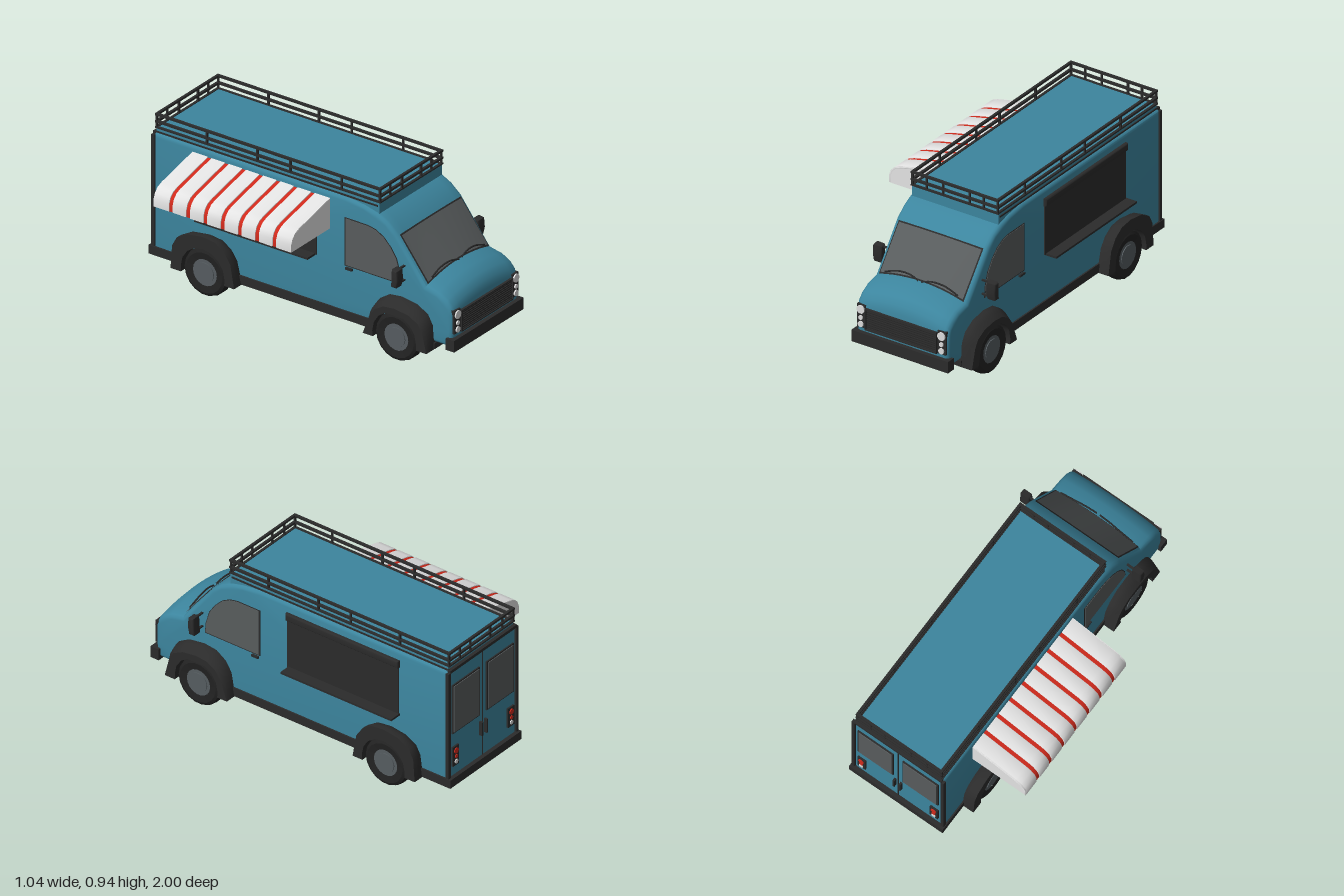
import * as THREE from 'three';
import { toCreasedNormals } from 'three/addons/utils/BufferGeometryUtils.js';

const mat = (name, color) => Object.assign(new THREE.MeshStandardMaterial({ color }), { name });
const M = {
  paint: mat('blue paint', 0x3c859e),
  trim: mat('black trim', 0x2b2b2b),
  tyre: mat('tyre rubber', 0x222222),
  glass: mat('grey glass', 0x585c5d),
  hub: mat('hub grey', 0x555c60),
  cloth: mat('white canvas', 0xe4e4e4),
  red: mat('red', 0xd02a1c),
  lamp: mat('lamp white', 0xdcdcdc),
};
M.glass.side = THREE.DoubleSide;

// Lower the hood and windscreen foot towards the flanks
const clamp = THREE.MathUtils.clamp;
const crown = (x, y, z) =>
  0.045 * (x / 0.295) ** 2 * clamp((z - 0.6) / 0.2, 0, 1) * clamp((y - 0.25) / 0.15, 0, 1);
function applyCrown(geo) {
  const p = geo.attributes.position;
  for (let i = 0; i < p.count; i++) p.setY(i, p.getY(i) - crown(p.getX(i), p.getY(i), p.getZ(i)));
  return geo;
}

// Outline of [z, y] points swept across from x0 to x1
function sweepX(pts, x0, x1, bevel = 0, steps = 1, segs = 3) {
  const shape = new THREE.Shape(pts.map(([z, y]) => new THREE.Vector2(z, y)));
  return new THREE.ExtrudeGeometry(shape, {
    depth: x1 - x0 - 2 * bevel, steps, bevelEnabled: bevel > 0, bevelSize: bevel,
    bevelThickness: bevel, bevelOffset: -bevel, bevelSegments: segs,
  }).rotateY(-Math.PI / 2).translate(x1 - bevel, 0, 0);
}
const grow = (pts, k) => {
  const cz = pts.reduce((s, p) => s + p[0], 0) / pts.length;
  const cy = pts.reduce((s, p) => s + p[1], 0) / pts.length;
  return pts.map(([z, y]) => [cz + (z - cz) * k, cy + (y - cy) * k]);
};

export function createModel() {
  const model = new THREE.Group();
  model.name = 'foodTruck';
  const van = new THREE.Group();
  van.name = 'van';
  van.position.x = 0.122; // the awning overhangs one side only
  model.add(van);

  const add = (name, geo, material) => {
    const m = new THREE.Mesh(geo, material);
    m.name = name;
    van.add(m);
    return m;
  };
  // Box given by its limits on each axis
  const box = (name, material, x0, x1, y0, y1, z0, z1) => add(name,
    new THREE.BoxGeometry(Math.abs(x1 - x0), y1 - y0, z1 - z0)
      .translate((x0 + x1) / 2, (y0 + y1) / 2, (z0 + z1) / 2), material);
  const disc = (name, material, r, depth, x, y, z, axis = 'z', sides = 20) => {
    const g = new THREE.CylinderGeometry(r, r, depth, sides);
    if (axis === 'z') g.rotateX(Math.PI / 2); else g.rotateZ(Math.PI / 2);
    return add(name, g.translate(x, y, z), material);
  };

  // Body shell
  const profile = [[-0.975, 0.12], [0.86, 0.12], [0.86, 0.15], [0.965, 0.15], [0.98, 0.24], [0.978, 0.38],
    [0.965, 0.425], [0.935, 0.46], [0.88, 0.49], [0.8, 0.505], [0.61, 0.715], [0.55, 0.765], [0.48, 0.8],
    [0.4, 0.82], [0.28, 0.835], [-0.975, 0.835]];
  add('body', toCreasedNormals(applyCrown(sweepX(profile, -0.295, 0.295, 0.025, 12)), 0.6), M.paint);
  box('roofBox', M.paint, -0.278, 0.278, 0.79, 0.862, -0.965, 0.49);

  // Windscreen: sheets lying on the sloping front
  const screen = (name, material, half, t0, t1, lift) => {
    const g = new THREE.PlaneGeometry(2 * half, 1, 12, 1);
    const p = g.attributes.position;
    for (let i = 0; i < p.count; i++) {
      const t = p.getY(i) > 0 ? t1 : t0;
      const x = p.getX(i), z = 0.8 - 0.19 * t, y = 0.505 + 0.21 * t;
      p.setXYZ(i, x, y - crown(x, y, z) + lift * 0.7, z + lift * 0.74);
    }
    g.computeVertexNormals();
    add(name, g, material);
  };
  screen('windscreenFrame', M.trim, 0.272, 0.0, 0.97, 0.003);
  screen('windscreen', M.glass, 0.265, 0.03, 0.94, 0.006);
  for (const s of [-1, 1]) {
    const path = new THREE.CatmullRomCurve3([[0.01, 0.512, 0.812], [0.07, 0.528, 0.805],
      [0.15, 0.522, 0.798], [0.235, 0.492, 0.798]].map(([x, y, z]) => new THREE.Vector3(s * x, y, z)));
    add('wiper', new THREE.TubeGeometry(path, 12, 0.005, 5), M.trim);
  }

  // Grille, lamps and bumpers
  box('grillePanel', M.tyre, -0.228, 0.228, 0.23, 0.352, 0.97, 0.985);
  for (let i = 0; i < 9; i++) box('grilleSlat', M.trim, -0.22, 0.22, 0.238 + i * 0.0125, 0.244 + i * 0.0125, 0.98, 0.99);
  for (const y of [0.228, 0.348]) box('grilleRim', M.trim, -0.23, 0.23, y, y + 0.007, 0.97, 0.993);
  box('frontBumper', M.trim, -0.31, 0.31, 0.14, 0.208, 0.945, 1);
  box('frontValance', M.trim, -0.3, 0.3, 0.116, 0.15, 0.84, 0.866);
  box('rearBumper', M.trim, -0.305, 0.305, 0.115, 0.165, -1, -0.95);
  for (const s of [-1, 1]) {
    box('grilleRim', M.trim, s * 0.223, s * 0.23, 0.23, 0.352, 0.97, 0.993);
    box('lampHousing', M.trim, s * 0.232, s * 0.286, 0.232, 0.368, 0.96, 0.984);
    for (const [y, r] of [[0.341, 0.024], [0.292, 0.013], [0.253, 0.017]])
      disc('headlight', M.lamp, r, 0.02, s * 0.259, y, 0.982);
  }

  // Parts on both flanks
  const arch = [[0.21, 0.112], [0.2, 0.25], [0.17, 0.305], [0.1, 0.345], [0, 0.36], [-0.08, 0.35],
    [-0.14, 0.31], [-0.18, 0.25], [-0.205, 0.112], [-0.14, 0.112]];
  for (let i = 0; i <= 8; i++) {
    const a = Math.PI * (1 - i / 8);
    arch.push([0.143 * Math.cos(a), 0.145 + 0.143 * Math.sin(a)]);
  }
  arch.push([0.143, 0.112]);
  const cabWindow = [[0.64, 0.437], [0.635, 0.5], [0.612, 0.575], [0.575, 0.63], [0.53, 0.675], [0.48, 0.702],
    [0.43, 0.712], [0.285, 0.712], [0.285, 0.437]];
  const tyreProfile = [[0.078, -0.036], [0.118, -0.042], [0.134, -0.034], [0.14, -0.018], [0.14, 0.018],
    [0.134, 0.034], [0.118, 0.042], [0.078, 0.036]].map(([r, y]) => new THREE.Vector2(r, y));

  for (const s of [-1, 1]) {
    const span = (pts, a, b, ...rest) => sweepX(pts, Math.min(s * a, s * b), Math.max(s * a, s * b), ...rest);

    for (const [z, dir] of [[0.65, 1], [-0.6, -1]]) {
      // Wheel arch, slimmed towards its outer edge
      const fender = span(arch, 0.27, 0.367, 0, 4);
      const p = fender.attributes.position;
      for (let i = 0; i < p.count; i++) {
        const k = clamp((Math.abs(p.getX(i)) - 0.3) / 0.067, 0, 1) ** 2;
        const r = Math.hypot(p.getZ(i), p.getY(i) - 0.145);
        if (r > 0.16 && p.getY(i) > 0.2) {
          const f = 1 - k * 0.2 * clamp((r - 0.16) / 0.04, 0, 1);
          p.setY(i, 0.145 + (p.getY(i) - 0.145) * f);
          p.setZ(i, p.getZ(i) * (1 - (1 - f) * 0.5));
        }
      }
      const m = add('wheelArch', toCreasedNormals(fender, 0.7), M.trim);
      m.position.z = z;
      if (dir < 0) {
        m.rotation.y = Math.PI; // turned so the long end trails
        m.geometry.rotateY(Math.PI);
        m.rotation.y = 0;
        m.geometry.translate(s * 0.637, 0, 0);
      }

      // Wheel
      const x = s * 0.311;
      const tyre = add('tyre', toCreasedNormals(
        new THREE.LatheGeometry(tyreProfile, 18).rotateZ(Math.PI / 2), 0.5), M.tyre);
      tyre.position.set(x, 0.14, z);
      disc('rim', M.hub, 0.08, 0.01, x + s * 0.03, 0.14, z, 'x');
      disc('hubCap', M.hub, 0.058, 0.012, x + s * 0.034, 0.14, z, 'x');
      disc('wheelBack', M.lamp, 0.08, 0.01, x - s * 0.03, 0.14, z, 'x');
    }
    box('sill', M.trim, s * 0.285, s * 0.304, 0.114, 0.165, -0.98, 0.845);

    // Cab window, door handle and mirror
    add('cabWindowFrame', span(grow(cabWindow, 1.04), 0.29, 0.2975), M.trim);
    add('cabWindow', span(cabWindow, 0.292, 0.3), M.glass);
    box('doorHandle', M.trim, s * 0.29, s * 0.308, 0.414, 0.426, 0.285, 0.33);
    add('mirror', toCreasedNormals(span([[0.645, 0.455], [0.68, 0.455], [0.69, 0.5], [0.685, 0.555],
      [0.65, 0.56]], 0.335, 0.394, 0.01), 0.6), M.trim);
    for (const y of [0.465, 0.548]) box('mirrorArm', M.trim, s * 0.285, s * 0.35, y - 0.004, y + 0.004, 0.658, 0.67);

    // Serving hatch with roller housing and counter
    box('servingHatch', M.trim, s * 0.29, s * 0.302, 0.44, 0.75, -0.65, 0.095);
    add('rollerHousing', toCreasedNormals(span([[-0.655, 0.735], [0.1, 0.735], [0.1, 0.78], [-0.655, 0.78]],
      0.28, 0.315, 0.01), 0.6), M.trim);
    box('counter', M.trim, s * 0.29, s * 0.368, 0.434, 0.446, -0.655, 0.085);
    box('gutter', M.trim, s * 0.275, s * 0.283, 0.834, 0.843, -0.97, 0.48);

    // Rear doors
    box('rearPost', M.trim, s * 0.28, s * 0.3, 0.16, 0.825, -0.985, -0.965);
    box('rearWindowFrame', M.trim, s * 0.03, s * 0.262, 0.43, 0.735, -0.983, -0.97);
    box('rearWindow', M.glass, s * 0.038, s * 0.254, 0.438, 0.727, -0.987, -0.975);
    box('rearHandle', M.trim, s * 0.014, s * 0.026, 0.3, 0.385, -0.995, -0.97);
    box('tailLampPanel', M.trim, s * 0.21, s * 0.262, 0.225, 0.345, -0.985, -0.97);
    disc('tailLamp', M.red, 0.017, 0.01, s * 0.236, 0.317, -0.985);
    disc('brakeLamp', M.red, 0.011, 0.01, s * 0.236, 0.281, -0.985);
    disc('reverseLamp', M.lamp, 0.013, 0.01, s * 0.236, 0.25, -0.985);
  }
  box('rearHeader', M.trim, -0.285, 0.285, 0.822, 0.84, -0.985, -0.965);
  box('doorSeam', M.trim, -0.003, 0.003, 0.165, 0.825, -0.979, -0.97);

  // Roof rack
  for (const y of [0.862, 0.896, 0.938]) {
    const t = y < 0.87 ? 0.004 : 0.006;
    for (const s of [-1, 1]) box('rackSideRail', M.trim, s * 0.266, s * 0.281, y - t, y + t, -0.975, 0.497);
    for (const z of [-0.975, 0.482]) box('rackEndRail', M.trim, -0.281, 0.281, y - t, y + t, z, z + 0.015);
  }
  for (const z of [0.489, 0.24, -0.095, -0.31, -0.64, -0.967])
    for (const s of [-1, 1]) box('rackPost', M.trim, s * 0.268, s * 0.279, 0.86, 0.938, z - 0.005, z + 0.005);
  for (const x of [-0.182, -0.077, 0.093, 0.183])
    for (const z of [-0.967, 0.489]) box('rackPost', M.trim, x - 0.005, x + 0.005, 0.86, 0.938, z - 0.005, z + 0.005);

  // Awning: puffed canvas panels parted by red seams
  const outer = [[-0.295, 0.8], [-0.57, 0.736], [-0.605, 0.722], [-0.63, 0.697], [-0.642, 0.665], [-0.642, 0.62]];
  const inner = [[-0.63, 0.62], [-0.63, 0.66], [-0.62, 0.69], [-0.6, 0.71], [-0.567, 0.724], [-0.295, 0.787]];
  const sweepZ = (pts, z0, z1, bevel) => toCreasedNormals(new THREE.ExtrudeGeometry(
    new THREE.Shape(pts.map(([x, y]) => new THREE.Vector2(x, y))), {
      depth: z1 - z0 - 2 * bevel, bevelEnabled: bevel > 0, bevelSize: bevel, bevelThickness: bevel * 1.0,
      bevelOffset: -bevel, bevelSegments: 2,
    }).translate(0, 0, z0 + bevel), 0.6);
  const pitch = 0.1125;
  const shell = [...outer, ...inner];
  const sunk = shell.map(([x, y], i) => i < 6 ? [x + (i > 0 ? 0.004 : 0), y - (i < 5 ? 0.004 : 0)] : [x, y]);
  for (let i = 0; i < 8; i++) {
    const z = -0.72 + i * pitch;
    add('awningPanel', sweepZ(shell, z + (i ? 0.011 : 0), z + pitch - (i < 7 ? 0.011 : 0), 0.004), M.cloth);
    if (i) add('awningStripe', sweepZ(sunk, z - 0.014, z + 0.014, 0), M.red);
  }
  const end = [...outer, [-0.295, 0.62]];
  for (const z of [-0.719, 0.171]) add('awningEnd', sweepZ(end, z, z + 0.008, 0), M.cloth);
  return model;
}
